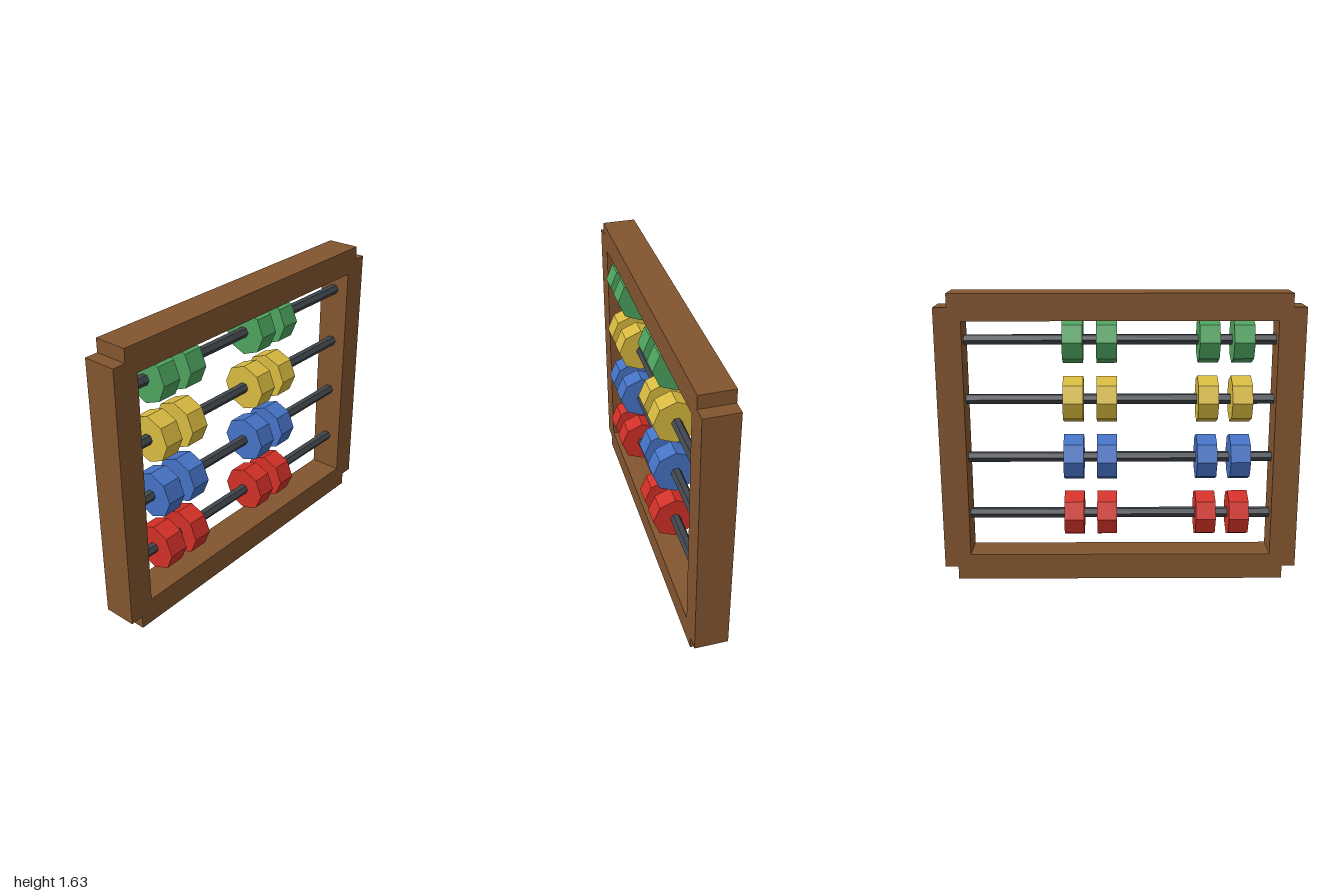
import * as THREE from 'three';

export function createModel() {
  const material = (name, color) => {
    const m = new THREE.MeshStandardMaterial({ color });
    m.name = name;
    m.flatShading = true;
    return m;
  };
  const wood = material('brown wood', 0x83552f);
  const metal = material('dark rod', 0x40464c);
  const beadColours = [
    material('red', 0xd23027),
    material('blue', 0x4573c6),
    material('yellow', 0xd8ba40),
    material('green', 0x4ea35e),
  ];

  const model = new THREE.Group();
  model.name = 'abacus';
  const add = (name, geometry, mat, x, y, parent = model) => {
    const mesh = new THREE.Mesh(geometry, mat);
    mesh.name = name;
    mesh.position.set(x, y, 0);
    parent.add(mesh);
  };

  // Frame: two rails overlapping two posts, leaving notched corners
  const thick = 0.148, depth = 0.185;
  const rail = new THREE.BoxGeometry(1.852, thick, depth);
  const post = new THREE.BoxGeometry(thick, 1.481, depth);
  add('bottomRail', rail, wood, 0, 0.074);
  add('topRail', rail, wood, 0, 1.556);
  add('leftPost', post, wood, 0.926, 0.815);
  add('rightPost', post, wood, -0.926, 0.815);

  // Six-sided rods carrying eight-sided beads, one colour per row
  const rod = new THREE.CylinderGeometry(0.03, 0.03, 1.8, 6).rotateZ(Math.PI / 2);
  const bead = new THREE.CylinderGeometry(0.13, 0.13, 0.111, 8).rotateZ(Math.PI / 2);
  const beadX = [-0.667, -0.481, 0.074, 0.259];
  beadColours.forEach((colour, i) => {
    const row = new THREE.Group();
    row.name = 'beadRow' + (i + 1);
    row.position.y = 0.37 + i * 0.3333;
    add('rod', rod, metal, 0, 0, row);
    beadX.forEach((x) => add('bead', bead, colour, x, 0, row));
    model.add(row);
  });

  return model;
}
